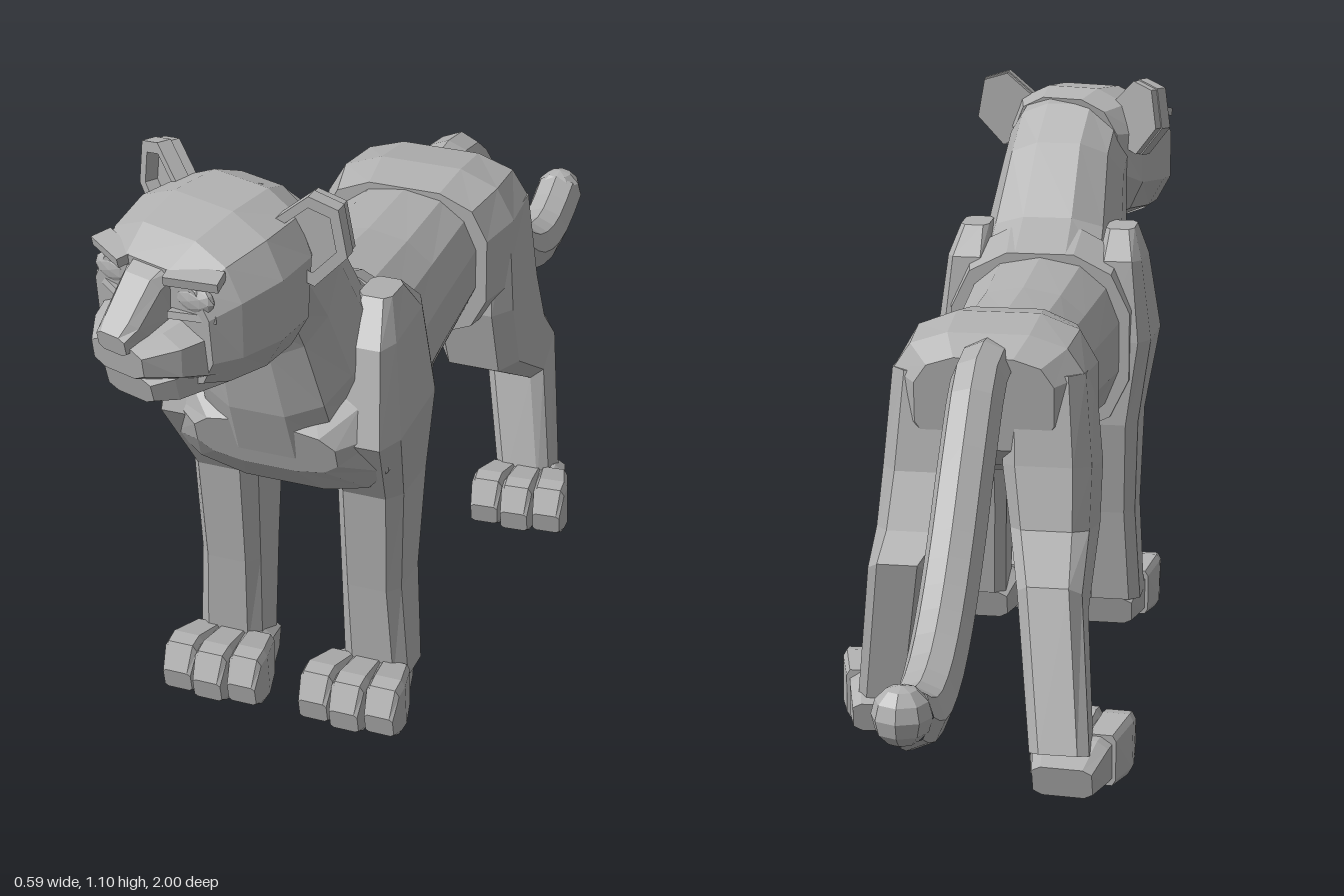
import * as THREE from 'three';

const grey = new THREE.MeshStandardMaterial({ color: 0xb0b0b0, flatShading: true });
grey.name = 'stone grey';

// Flat-shaded loft. Each section is [centreX, halfWidth, y1, z1, y2, z2]:
// a rounded ring across x, spanning from point 1 to point 2 in the side plane.
function loft(name, sections, sides = 8, square = 0.6) {
  const pos = [], index = [], rows = sections.length;
  const bend = (v) => Math.sign(v) * Math.abs(v) ** square;
  for (const [cx, hw, y1, z1, y2, z2] of sections) {
    for (let i = 0; i < sides; i++) {
      const a = ((i + 0.5) / sides) * Math.PI * 2;
      const t = (1 + bend(Math.sin(a))) / 2;
      pos.push(cx + hw * bend(Math.cos(a)), y2 + (y1 - y2) * t, z2 + (z1 - z2) * t);
    }
  }
  for (let r = 0; r < rows - 1; r++) {
    for (let i = 0; i < sides; i++) {
      const j = (i + 1) % sides, a = r * sides + i, b = r * sides + j;
      index.push(a, b, b + sides, a, b + sides, a + sides);
    }
  }
  const end = (rows - 1) * sides;
  for (let i = 1; i < sides - 1; i++) {
    index.push(0, i + 1, i, end, end + i, end + i + 1);
  }
  // Turn the faces outward if the sections ran the other way
  let volume = 0;
  const p = (i) => new THREE.Vector3().fromArray(pos, i * 3);
  for (let i = 0; i < index.length; i += 3) {
    volume += p(index[i]).dot(p(index[i + 1]).cross(p(index[i + 2])));
  }
  if (volume < 0) index.reverse();
  const geo = new THREE.BufferGeometry();
  geo.setAttribute('position', new THREE.Float32BufferAttribute(pos, 3));
  geo.setIndex(index);
  return mesh(name, geo);
}

function mesh(name, geo) {
  const flat = geo.index ? geo.toNonIndexed() : geo;
  flat.computeVertexNormals();
  const m = new THREE.Mesh(flat, grey);
  m.name = name;
  return m;
}

// Paw with a heel and three toes; its toes end at local z = 0
function paw(name, x, z, yaw) {
  const g = new THREE.Group();
  g.name = name;
  g.add(loft('heel', [
    [0, 0.055, 0.06, -0.22, 0.002, -0.205],
    [0, 0.07, 0.09, -0.15, 0, -0.15],
    [0, 0.082, 0.1, -0.05, 0, -0.06],
  ], 8, 0.4));
  for (const [i, cx] of [-0.062, 0, 0.062].entries()) {
    const reach = i === 1 ? 0 : -0.01;
    g.add(loft('toe', [
      [cx * 0.8, 0.028, 0.095, -0.13, 0, -0.13],
      [cx, 0.032, 0.112, -0.05 + reach, 0, -0.06 + reach],
      [cx, 0.031, 0.108, -0.022 + reach, 0, -0.04 + reach],
      [cx, 0.027, 0.06, reach, 0.018, reach - 0.008],
    ], 8, 0.3));
  }
  g.position.set(x, 0, z);
  g.rotation.y = yaw;
  return g;
}

// Cupped ear: a raised rim around a thin back plate, outer side swept back
function ear(side) {
  const pts = [[-0.06, -0.06], [-0.063, 0.015], [0.002, 0.07], [0.052, 0.055], [0.066, -0.025], [0.01, -0.085]];
  const outline = (k) => pts.map(([x, y]) => new THREE.Vector2(side * x * k, y * k));
  const rim = new THREE.Shape(outline(1));
  rim.holes.push(new THREE.Path(outline(0.72)));
  const g = new THREE.Group();
  g.name = side > 0 ? 'leftEar' : 'rightEar';
  const opts = (depth) => ({ depth, bevelEnabled: false });
  const back = mesh('earBack', new THREE.ExtrudeGeometry(new THREE.Shape(outline(0.96)), opts(0.018)));
  back.position.z = -0.016;
  g.add(back, mesh('earRim', new THREE.ExtrudeGeometry(rim, opts(0.025))));
  g.position.set(side * 0.148, 1.035, 0);
  g.rotation.y = side * 0.3;
  return g;
}

function head() {
  const g = new THREE.Group();
  g.name = 'head';
  g.add(loft('skull', [
    [0, 0.12, 1.065, -0.05, 0.84, 0],
    [0, 0.155, 1.084, 0, 0.8, 0.03],
    [0, 0.168, 1.08, 0.09, 0.798, 0.1],
    [0, 0.15, 1.058, 0.17, 0.8, 0.17],
    [0, 0.122, 1.025, 0.222, 0.81, 0.205],
  ], 12, 0.75));
  g.add(loft('noseBridge', [
    [0, 0.055, 1.035, 0.19, 0.96, 0.17],
    [0, 0.042, 1.01, 0.245, 0.92, 0.2],
    [0, 0.038, 0.955, 0.295, 0.9, 0.24],
    [0, 0.03, 0.935, 0.312, 0.9, 0.305],
  ], 8, 0.5));
  g.add(loft('muzzle', [
    [0, 0.125, 0.95, 0.18, 0.82, 0.18],
    [0, 0.095, 0.93, 0.25, 0.845, 0.25],
    [0, 0.055, 0.915, 0.3, 0.858, 0.293],
  ], 8, 0.6));
  g.add(loft('chin', [
    [0, 0.105, 0.88, 0.15, 0.798, 0.14],
    [0, 0.075, 0.865, 0.25, 0.798, 0.235],
    [0, 0.05, 0.855, 0.28, 0.805, 0.268],
  ], 8, 0.55));
  for (const s of [-1, 1]) {
    // Brow, eye and lower lid
    const brow = mesh('brow', new THREE.BoxGeometry(0.09, 0.016, 0.035));
    brow.position.set(s * 0.083, 1.015, 0.207);
    brow.rotation.set(0.2, s * 0.35, -s * 0.06);
    const eye = mesh('eye', new THREE.IcosahedronGeometry(0.03, 1));
    eye.scale.set(1.35, 0.85, 0.5);
    eye.position.set(s * 0.083, 0.982, 0.208);
    const lid = mesh('lowerLid', new THREE.BoxGeometry(0.08, 0.012, 0.03));
    lid.position.set(s * 0.083, 0.952, 0.208);
    lid.rotation.set(-0.2, s * 0.35, s * 0.1);
    g.add(brow, eye, lid, ear(s));
  }
  g.position.set(-0.02, 0, 0.7);
  g.rotation.y = -0.31;
  return g;
}

export function createModel() {
  const model = new THREE.Group();
  model.name = 'bigCat';

  model.add(loft('chest', [
    [0, 0.13, 0.63, 0.695, 0.53, 0.665],
    [0, 0.2, 0.69, 0.65, 0.46, 0.6],
    [0, 0.205, 0.8, 0.56, 0.425, 0.54],
    [0, 0.2, 0.828, 0.48, 0.415, 0.47],
    [0, 0.185, 0.79, 0.4, 0.415, 0.4],
  ], 12, 0.75));
  model.add(loft('waist', [
    [0, 0.165, 0.78, 0.42, 0.425, 0.42],
    [0, 0.148, 0.757, 0.2, 0.445, 0.2],
    [0, 0.143, 0.75, 0, 0.475, 0],
  ], 14, 0.85));
  model.add(loft('hips', [
    [0, 0.165, 0.757, 0.02, 0.46, 0.02],
    [0, 0.188, 0.768, -0.07, 0.46, -0.06],
    [0, 0.18, 0.75, -0.18, 0.5, -0.17],
    [0, 0.13, 0.715, -0.235, 0.54, -0.22],
  ], 12, 0.65));
  model.add(loft('neck', [
    [0, 0.15, 0.56, 0.68, 0.79, 0.4],
    [0, 0.145, 0.66, 0.715, 0.845, 0.49],
    [-0.01, 0.13, 0.78, 0.735, 0.985, 0.57],
    [-0.02, 0.13, 0.85, 0.76, 1.055, 0.645],
    [-0.025, 0.12, 0.9, 0.8, 1.08, 0.7],
  ], 12, 0.8));
  model.add(head());

  // Shoulders running down into the front legs
  for (const s of [-1, 1]) {
    const side = s > 0 ? 'Left' : 'Right';
    model.add(loft('front' + side + 'Leg', [
      [s * 0.148, 0.03, 0.83, 0.565, 0.825, 0.48],
      [s * 0.153, 0.045, 0.76, 0.62, 0.77, 0.42],
      [s * 0.16, 0.06, 0.6, 0.67, 0.61, 0.4],
      [s * 0.135, 0.063, 0.45, 0.58, 0.44, 0.4],
      [s * 0.133, 0.058, 0.25, 0.565, 0.25, 0.43],
      [s * 0.14, 0.062, 0.06, 0.555, 0.06, 0.45],
    ], 8, 0.5));
    model.add(paw('front' + side + 'Paw', s * 0.13, 0.675, 0));
  }

  // Hind legs in mid stride, the left one forward
  model.add(loft('hindLeftLeg', [
    [0.1, 0.08, 0.68, -0.03, 0.68, -0.21],
    [0.11, 0.085, 0.5, -0.005, 0.5, -0.24],
    [0.12, 0.08, 0.37, -0.03, 0.4, -0.28],
    [0.145, 0.06, 0.27, -0.195, 0.345, -0.305],
    [0.185, 0.055, 0.06, -0.14, 0.06, -0.24],
  ], 8, 0.5));
  model.add(paw('hindLeftPaw', 0.205, -0.035, 0.08));
  model.add(loft('hindRightLeg', [
    [-0.1, 0.08, 0.68, -0.03, 0.68, -0.21],
    [-0.11, 0.085, 0.48, -0.005, 0.52, -0.24],
    [-0.12, 0.075, 0.37, -0.04, 0.41, -0.27],
    [-0.145, 0.06, 0.26, -0.28, 0.35, -0.41],
    [-0.18, 0.055, 0.06, -0.425, 0.08, -0.512],
  ], 8, 0.5));
  model.add(paw('hindRightPaw', -0.205, -0.3, -0.08));

  // Tail sweeping down and curling up at the tip
  const path = [[0.69, -0.17], [0.685, -0.27], [0.57, -0.39], [0.44, -0.5], [0.335, -0.61],
    [0.275, -0.71], [0.255, -0.82], [0.28, -0.91], [0.3, -0.95]];
  const curve = new THREE.CatmullRomCurve3(path.map(([y, z]) => new THREE.Vector3(0, y, z)));
  model.add(mesh('tail', new THREE.TubeGeometry(curve, 18, 0.051, 8)));
  const tip = mesh('tailTip', new THREE.SphereGeometry(0.05, 8, 6));
  tip.position.set(0, 0.3, -0.95);
  model.add(tip);
  return model;
}
